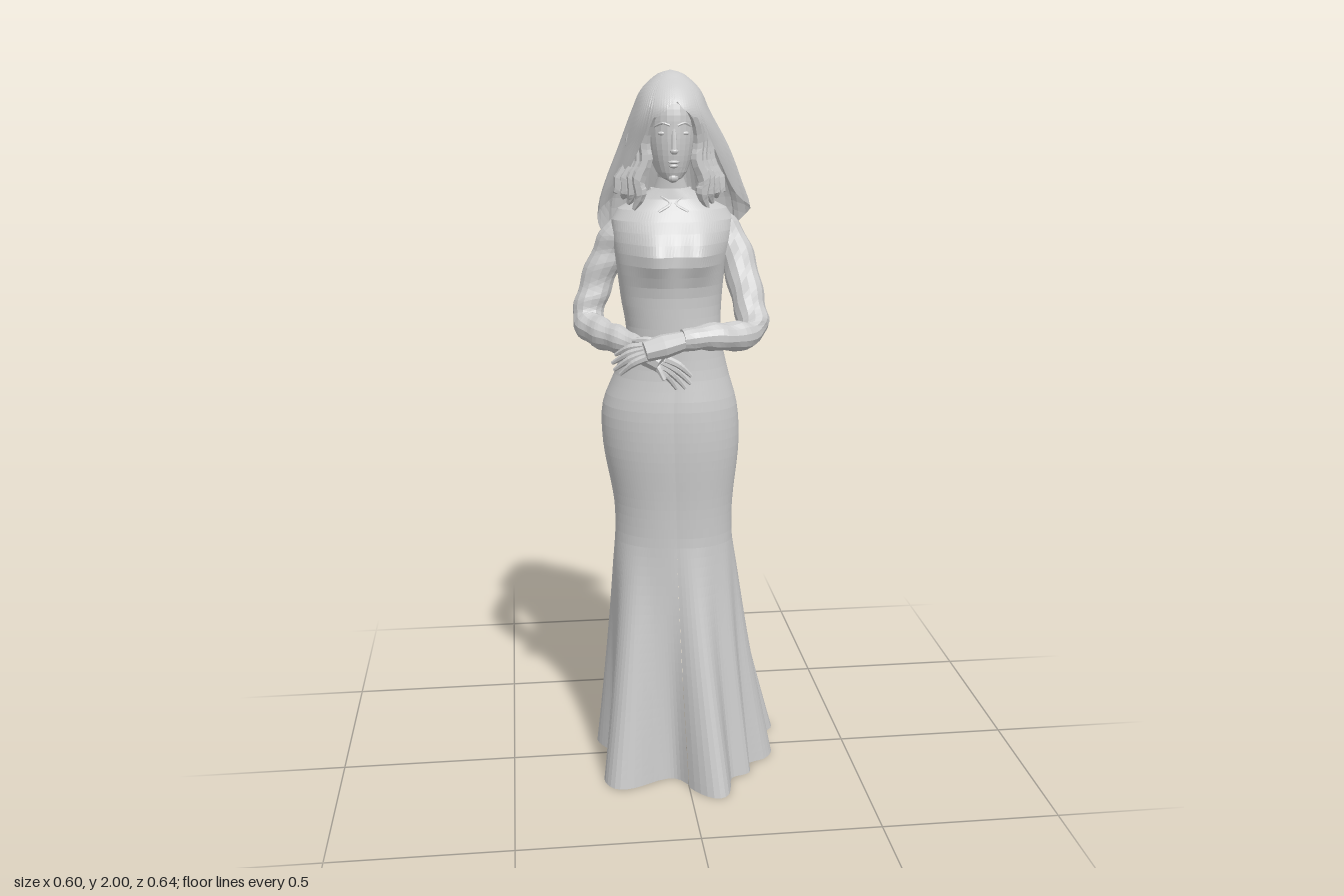
import * as THREE from 'three';

const V = (x, y, z) => new THREE.Vector3(x, y, z);
const material = new THREE.MeshStandardMaterial({ color: 0xcccccc, flatShading: true });
const clothMaterial = new THREE.MeshStandardMaterial({ color: 0xcccccc, flatShading: true, side: THREE.DoubleSide });

// Smooth lookup in a table whose first column is the key
function table(rows) {
  const size = rows[0].length - 1;
  const interp = new THREE.CubicInterpolant(rows.map(r => r[0]), rows.flatMap(r => r.slice(1)), size);
  return k => Array.from(interp.evaluate(k));
}

// Mesh from a grid of points f(u, v); u runs around, v runs along
function grid(name, nu, nv, f, mat = material) {
  const pos = [], idx = [];
  for (let j = 0; j <= nv; j++)
    for (let i = 0; i <= nu; i++) pos.push(...f(i / nu, j / nv, j).toArray());
  for (let j = 0; j < nv; j++)
    for (let i = 0; i < nu; i++) {
      const a = j * (nu + 1) + i, b = a + nu + 1;
      idx.push(a, a + 1, b + 1, a, b + 1, b);
    }
  const g = new THREE.BufferGeometry();
  g.setAttribute('position', new THREE.Float32BufferAttribute(pos, 3));
  g.setIndex(idx);
  g.computeVertexNormals();
  const mesh = new THREE.Mesh(g, mat);
  mesh.name = name;
  return mesh;
}

// Tapered tube through points [x, y, z, radius], with closed ends and optional wrinkles
function limb(name, pts, { sides = 10, steps = 20, wrinkle = 0 } = {}) {
  const curve = new THREE.CatmullRomCurve3(pts.map(p => V(p[0], p[1], p[2])));
  const frames = curve.computeFrenetFrames(steps);
  const last = pts.length - 1;
  return grid(name, sides, steps + 2, (u, v, row) => {
    const j = THREE.MathUtils.clamp(row - 1, 0, steps), t = j / steps;
    const k = Math.min(Math.floor(t * last), last - 1);
    const a = u * Math.PI * 2;
    let r = THREE.MathUtils.lerp(pts[k][3], pts[k + 1][3], t * last - k);
    r *= 1 + wrinkle * Math.sin(t * 46 + 2 * Math.sin(a));
    if (row === 0 || row === steps + 2) r = 0;
    return curve.getPoint(t)
      .addScaledVector(frames.normals[j], r * Math.cos(a))
      .addScaledVector(frames.binormals[j], r * Math.sin(a));
  });
}

// Dress: y, centre x, centre z, half width, half depth
const bodyAt = table([
  [0, -.03, .035, .165, .125], [.3, -.03, .035, .165, .125], [.6, -.028, .03, .167, .125],
  [.8, -.028, .035, .163, .125], [1, -.035, .027, .187, .147], [1.1, -.037, .025, .183, .148],
  [1.2, -.03, .035, .152, .127], [1.3, -.025, .055, .13, .105], [1.4, -.03, .05, .138, .11],
  [1.5, -.03, .045, .15, .115], [1.58, -.024, .03, .165, .105], [1.625, -.024, .022, .16, .088],
  [1.655, -.025, .025, .125, .07], [1.685, -.03, .04, .055, .047], [1.78, -.03, .055, .04, .042],
]);

// Fluted hem: angle from the front, radius
const hemAt = table([
  [-6, .19], [13, .31], [19, .31], [33, .235], [48, .25], [60, .225], [70, .262], [85, .27], [97, .2],
  [109, .318], [115, .312], [124, .235], [134, .34], [143, .335], [154, .277], [168, .322], [177, .32],
  [194, .23], [204, .312], [211, .315], [225, .21], [236, .252], [250, .262], [270, .205], [288, .225],
  [306, .295], [318, .298], [336, .2], [354, .19], [373, .31],
]);

function makeDress() {
  const rows = 64;
  return grid('dress', 120, rows, (u, v, j) => {
    if (j === 0) return V(0, 0, 0);
    const y = 1.78 * (j - 1) / (rows - 1), a = u * Math.PI * 2;
    const [cx, cz, rx, rz] = bodyAt(y);
    // the left hip stands a little forward
    const hip = u < .25 ? 1 + .13 * Math.sin(2 * a) * THREE.MathUtils.smoothstep(1.4 - y, 0, .3) : 1;
    const p = V(cx + rx * hip * Math.sin(a), y, cz + rz * hip * Math.cos(a));
    // flutes open out below the knee
    if (y < .72) {
      const [r] = hemAt(u * 360);
      p.lerp(V(r * Math.sin(a), y, r * Math.cos(a)), Math.pow(1 - y / .72, 1.15));
    }
    // bust
    if (Math.cos(a) > 0)
      for (const s of [-1, 1]) {
        const dx = (p.x + .025 - s * .065) / .058, dy = (y - 1.525) / (y > 1.525 ? .075 : .058);
        p.z += .042 * Math.exp(-dx * dx - dy * dy) * Math.cos(a);
      }
    return p;
  });
}

// Veil: y, centre x, centre z, half width, front reach, back reach
const veilAt = table([
  [1.46, -.01, -.045, .205, .06, .155], [1.55, -.01, -.04, .205, .07, .148], [1.64, -.013, -.03, .2, .08, .14],
  [1.7, -.017, -.01, .182, .095, .145], [1.8, -.02, .02, .145, .112, .145], [1.9, -.03, .04, .1, .127, .122],
  [1.95, -.03, .04, .077, .092, .09], [1.98, -.03, .04, .047, .052, .055],
  [1.993, -.03, .04, .026, .028, .03], [2, -.03, .04, 0, 0, 0],
]);
// Height of the veil's edge and depth of its folds, by angle from the front
const veilHem = table([[0, 1.93], [12, 1.905], [25, 1.885], [36, 1.87], [46, 1.77], [57, 1.69],
  [75, 1.655], [92, 1.62], [113, 1.52], [135, 1.495], [158, 1.505], [180, 1.49]]);
const veilFold = table([[0, 1], [55, 1], [75, .97], [90, 1.05], [102, .86], [124, 1.04], [139, .84], [162, .95],
  [186, .78], [204, 1.13], [220, .98], [235, 1], [248, .93], [262, 1.04], [285, .95], [305, 1], [360, 1]]);

function makeVeil() {
  return grid('veil', 84, 26, (u, v) => {
    const deg = u * 360, a = u * Math.PI * 2, c = Math.cos(a);
    const [hem] = veilHem(Math.min(deg, 360 - deg));
    const y = 2 - (2 - hem) * Math.pow(1 - v, 1.7);
    const [cx, cz, rx, front, back] = veilAt(y);
    const fold = THREE.MathUtils.lerp(1, veilFold(deg)[0], Math.min(1, (2 - y) / .35));
    return V(cx + rx * fold * Math.sin(a), y, cz + (c > 0 ? front : back) * fold * c);
  }, clothMaterial);
}

// Head: y, centre z, half width, half depth
const headAt = table([[1.712, .115, .006, .012], [1.73, .1, .032, .036], [1.76, .077, .049, .068],
  [1.8, .07, .059, .08], [1.85, .06, .065, .09], [1.9, .05, .065, .095], [1.94, .045, .054, .078], [1.975, .045, .02, .03]]);

function makeHead() {
  const head = new THREE.Group();
  head.name = 'head';
  head.position.x = -.033;
  head.add(grid('skull', 24, 18, (u, v, j) => {
    const y = 1.712 + .263 * v, a = u * Math.PI * 2;
    let [cz, rx, rz] = headAt(y);
    if (j === 0 || j === 18) rx = rz = 0;
    return V(rx * Math.sin(a), y, cz + rz * Math.cos(a));
  }));
  const blob = (name, x, y, z, sx, sy, sz) => {
    const m = new THREE.Mesh(new THREE.SphereGeometry(1, 10, 7), material);
    m.name = name;
    m.position.set(x, y, z);
    m.scale.set(sx, sy, sz);
    head.add(m);
  };
  blob('upperLip', 0, 1.769, .143, .016, .005, .009);
  blob('lowerLip', 0, 1.759, .141, .013, .006, .009);
  blob('chin', 0, 1.727, .128, .015, .012, .012);
  blob('noseTip', 0, 1.797, .155, .011, .008, .012);
  head.add(limb('nose', [[0, 1.865, .142, .005], [0, 1.83, .15, .007], [0, 1.797, .157, .008]], { steps: 8, sides: 8 }));
  for (const s of [-1, 1]) {
    const side = s > 0 ? 'left' : 'right';
    blob(side + 'Eye', s * .027, 1.842, .136, .014, .006, .007);
    head.add(limb(side + 'Brow', [[s * .01, 1.862, .147, .003], [s * .028, 1.868, .141, .004], [s * .048, 1.858, .121, .002]], { steps: 6, sides: 6 }));
    // wavy locks framing the face
    for (let k = 0; k < 4; k++) {
      const o = k * .014;
      head.add(limb(side + 'HairLock', [
        [s * .012, 1.925, .13, .01], [s * (.054 + o * .4), 1.885, .115 - o, .015],
        [s * (.07 + o * .8), 1.82, .09 - o, .018], [s * (.067 + o * .9), 1.77, .09 - o, .019],
        [s * (.088 + o), 1.72, .085 - o, .021], [s * (.082 + o * 1.3), 1.68, .085 - o, .018],
        [s * (.1 + o), 1.64 + o, .078 - o, .005]], { sides: 7, steps: 18 }));
    }
  }
  return head;
}

// Hand: palm from wrist to knuckles, then four fingers and a thumb
function makeHand(name, wrist, knuckles, tips, spread, thumb) {
  const hand = new THREE.Group();
  hand.name = name;
  const mid = wrist.clone().lerp(knuckles, .55);
  hand.add(limb('palm', [[...wrist, .025], [...mid, .032], [...knuckles, .027]], { steps: 8 }));
  for (let k = 0; k < 4; k++) {
    const o = (k - 1.5) / 1.5;
    const a = knuckles.clone().addScaledVector(spread, o * .8);
    const c = tips.clone().addScaledVector(spread, o * 1.4).lerp(a, k === 0 || k === 3 ? .15 : 0);
    const b = a.clone().lerp(c, .5).add(V(0, .008, .006));
    hand.add(limb('finger', [[...a, .012], [...b, .01], [...c, .005]], { sides: 7, steps: 8 }));
  }
  const t = mid.clone().lerp(thumb, .5).add(V(0, .008, .004));
  hand.add(limb('thumb', [[...mid, .013], [...t, .011], [...thumb, .006]], { sides: 7, steps: 8 }));
  return hand;
}

export function createModel() {
  const model = new THREE.Group();
  model.name = 'veiledWoman';
  model.add(makeDress(), makeVeil(), makeHead());

  // Sleeved arms, folded in front of the waist
  const sleeve = { sides: 14, steps: 44, wrinkle: .06 };
  model.add(limb('rightArm', [
    [-.09, 1.61, .015, .038], [-.155, 1.577, .008, .05], [-.203, 1.5, 0, .047], [-.243, 1.4, .008, .044],
    [-.258, 1.335, .035, .042], [-.228, 1.315, .11, .041], [-.182, 1.31, .185, .037], [-.14, 1.303, .245, .027]], sleeve));
  model.add(limb('leftArm', [
    [.05, 1.61, .015, .038], [.112, 1.577, .02, .05], [.15, 1.5, .07, .047], [.168, 1.4, .14, .044],
    [.172, 1.335, .195, .042], [.12, 1.325, .24, .039], [.05, 1.33, .262, .036], [-.025, 1.325, .277, .028]], sleeve));
  model.add(makeHand('rightHand', V(-.15, 1.305, .235), V(-.08, 1.265, .275), V(-.012, 1.205, .285), V(.014, .014, .006), V(-.075, 1.225, .295)));
  model.add(makeHand('leftHand', V(-.015, 1.325, .275), V(-.125, 1.3, .288), V(-.205, 1.255, .253), V(-.004, .017, -.012), V(-.155, 1.325, .26)));

  // Pointed collar
  for (const s of [-1, 1])
    model.add(limb(s > 0 ? 'leftCollar' : 'rightCollar', [
      [-.03 + s * .052, 1.69, .035, .006], [-.03 + s * .036, 1.677, .074, .008],
      [-.03 + s * .008, 1.655, .091, .007], [-.03 + s * .04, 1.635, .104, .004]], { sides: 8, steps: 12 }));
  return model;
}
